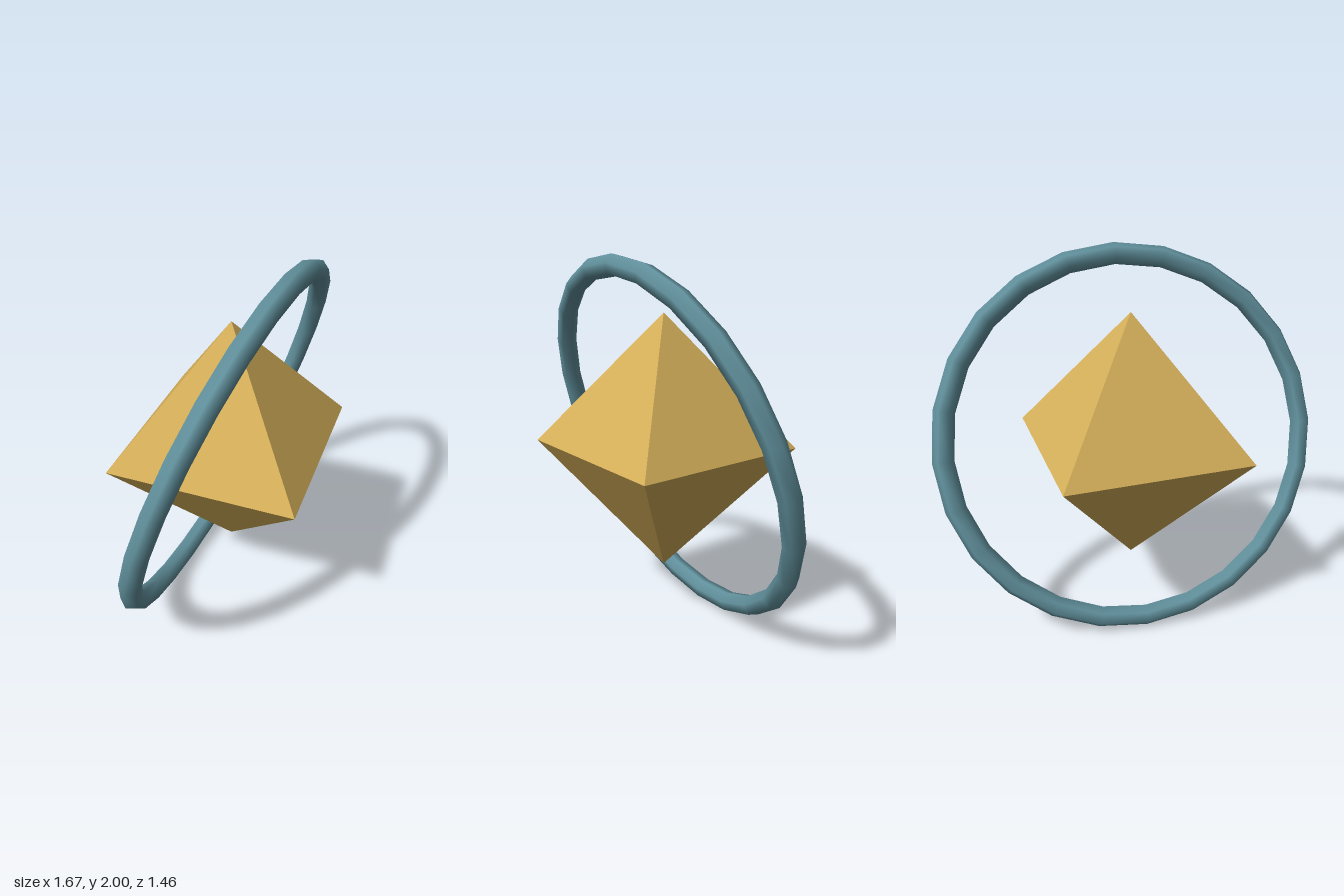
import * as THREE from 'three';

export function createModel() {
  const model = new THREE.Group();

  function addPart(name, geometry, color, flatShading) {
    const material = new THREE.MeshStandardMaterial({ color, flatShading });
    const mesh = new THREE.Mesh(geometry, material);
    mesh.name = name;
    mesh.position.y = 1;
    model.add(mesh);
    return mesh;
  }

  // Eight-sided crystal with its corners on the axes
  addPart('crystal', new THREE.OctahedronGeometry(0.705), 0xd4af5a, true);

  // Tilted ring floating around the crystal
  const ring = addPart('ring', new THREE.TorusGeometry(0.992, 0.0565, 6, 24), 0x62929e, false);
  ring.rotation.set(0.385, 0.66, 0);

  return model;
}
